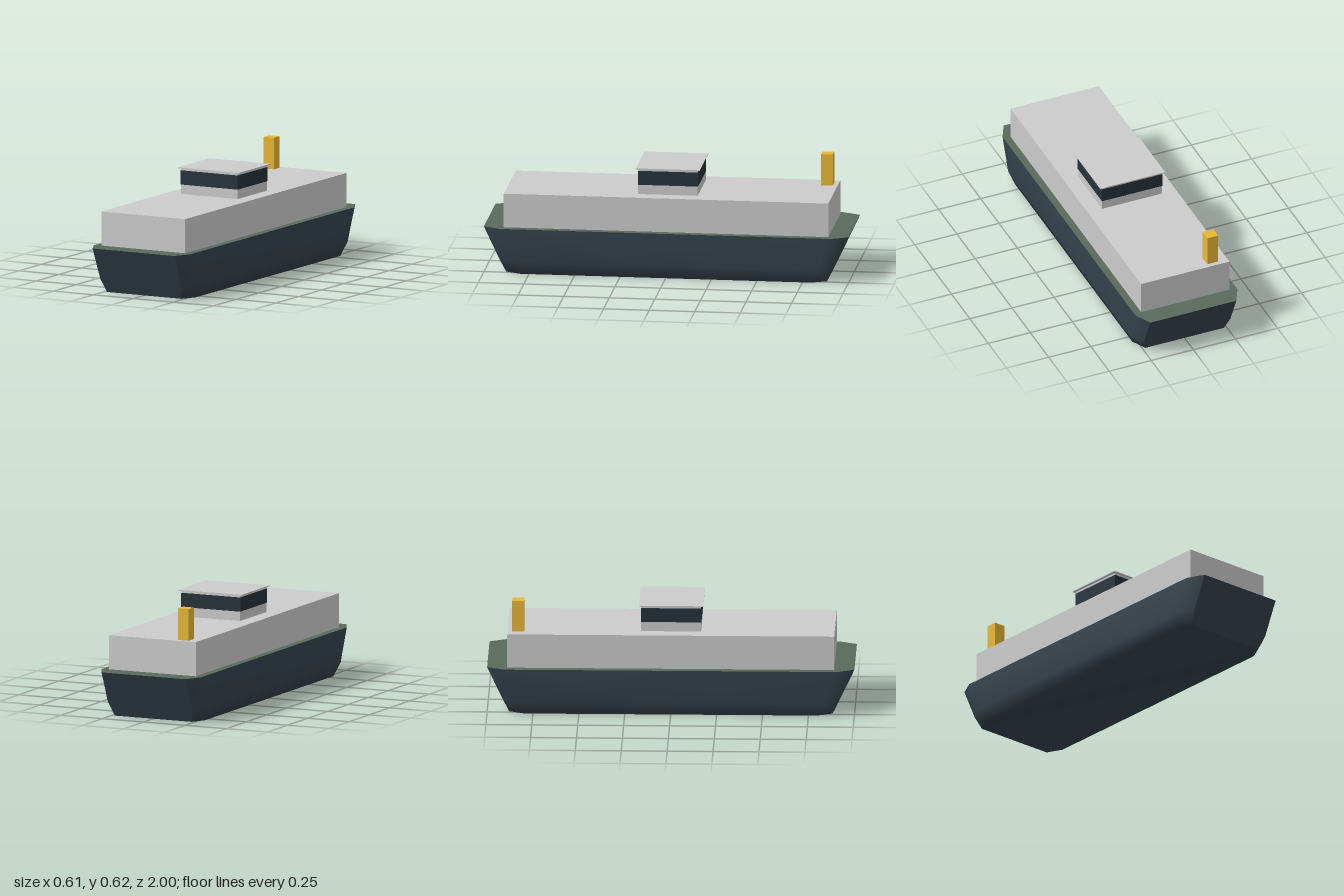
import * as THREE from 'three';

const paint = (color) => new THREE.MeshStandardMaterial({ color });
const grey = paint(0xcccccc);
const hullBlue = paint(0x34424c);
const deckGreen = paint(0x586a5c);
const glassDark = paint(0x25323a);
const funnelYellow = paint(0xe8b835);

// Hull outline at three heights: keel, bilge and deck edge
const LEVELS = [
  { y: 0, side: 0.275, end: 0.233, shoulderZ: 0.797, endZ: 0.88 },
  { y: 0.075, side: 0.303, end: 0.255, shoulderZ: 0.829, endZ: 0.915 },
  { y: 0.255, side: 0.303, end: 0.255, shoulderZ: 0.905, endZ: 1 },
];

// U-shaped section, from the -x deck edge under the keel to the +x deck edge
function section(isEnd, dir) {
  const half = LEVELS.map((l) => [isEnd ? l.end : l.side, l.y, dir * (isEnd ? l.endZ : l.shoulderZ)]);
  return [...half].reverse().map(([x, y, z]) => [-x, y, z]).concat(half);
}

// Smooth skin lofted through the sections from stern to bow
function hullShell() {
  const rows = [section(true, -1), section(false, -1), section(false, 1), section(true, 1)];
  const n = rows[0].length;
  const index = [];
  for (let r = 0; r < rows.length - 1; r++) {
    for (let i = 0; i < n - 1; i++) {
      const a = r * n + i, b = a + 1, c = a + n, d = c + 1;
      index.push(a, b, d, a, d, c);
    }
  }
  const geo = new THREE.BufferGeometry();
  geo.setAttribute('position', new THREE.Float32BufferAttribute(rows.flat(2), 3));
  geo.setIndex(index);
  geo.computeVertexNormals();
  return geo;
}

// Flat raked plate closing one end of the hull
function endPlate(dir) {
  const points = section(true, dir);
  const index = [];
  for (let i = 1; i < points.length - 1; i++) {
    index.push(0, ...(dir > 0 ? [i, i + 1] : [i + 1, i]));
  }
  const geo = new THREE.BufferGeometry();
  geo.setAttribute('position', new THREE.Float32BufferAttribute(points.flat(), 3));
  geo.setIndex(index);
  geo.computeVertexNormals();
  return geo;
}

// Main deck, with the same clipped corners as the hull
function deckPlate() {
  const { y, side, end, shoulderZ, endZ } = LEVELS[2];
  const shape = new THREE.Shape([
    [end, -endZ], [side, -shoulderZ], [side, shoulderZ], [end, endZ],
    [-end, endZ], [-side, shoulderZ], [-side, -shoulderZ], [-end, -endZ],
  ].map(([x, z]) => new THREE.Vector2(x, z)));
  return new THREE.ShapeGeometry(shape).rotateX(-Math.PI / 2).translate(0, y, 0);
}

export function createModel() {
  const model = new THREE.Group();
  model.name = 'ferry';

  const add = (name, geometry, material) => {
    const mesh = new THREE.Mesh(geometry, material);
    mesh.name = name;
    model.add(mesh);
  };
  // Box given by its width, depth, bottom and top, and its centre in plan
  const block = (name, material, w, d, y0, y1, x = 0, z = 0) =>
    add(name, new THREE.BoxGeometry(w, y1 - y0, d).translate(x, (y0 + y1) / 2, z), material);

  // Hull and deck
  add('hull', hullShell(), hullBlue);
  add('bowPlate', endPlate(1), hullBlue);
  add('sternPlate', endPlate(-1), hullBlue);
  add('deck', deckPlate(), deckGreen);

  // Superstructure and wheelhouse
  block('superstructure', grey, 0.524, 1.78, 0.255, 0.443);
  block('wheelhouse', grey, 0.354, 0.326, 0.443, 0.586);
  block('windowBand', glassDark, 0.358, 0.33, 0.495, 0.573);
  block('wheelhouseRoof', grey, 0.384, 0.35, 0.585, 0.59);

  // Funnel at the right of the stern
  block('funnel', funnelYellow, 0.065, 0.065, 0.443, 0.617, -0.174, -0.832);

  return model;
}
